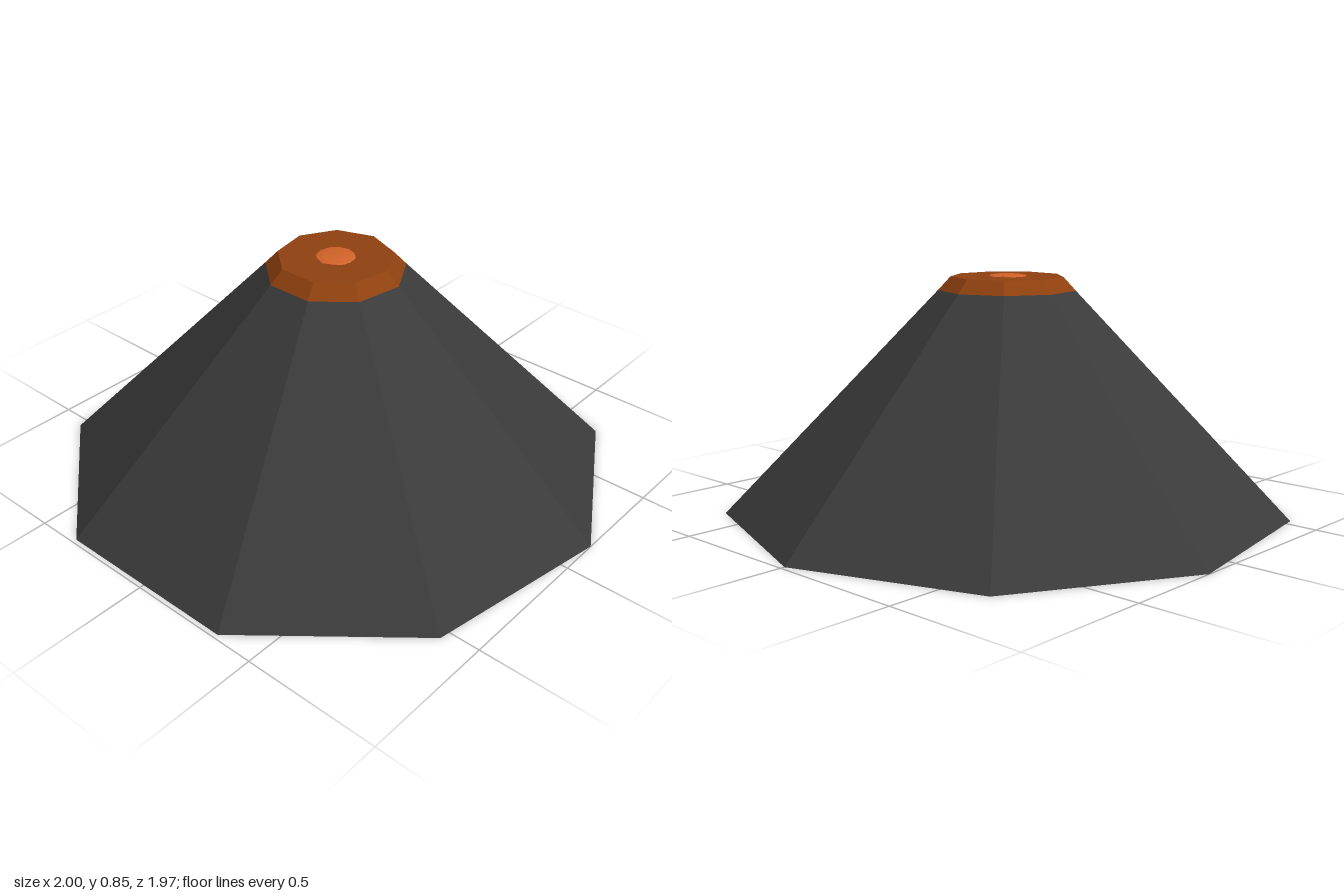
import * as THREE from 'three';

const SIDES = 9;
const CENTRE_Z = 0.03; // a nine-sided base is not symmetric front to back

function material(name, color) {
  const m = new THREE.MeshStandardMaterial({ color, flatShading: true });
  m.name = name;
  return m;
}

export function createModel() {
  const rock = material('dark rock', 0x3a3a3a);
  const crust = material('burnt orange crust', 0x8f400f);
  const ember = material('glowing orange', 0xd2622a);

  const volcano = new THREE.Group();
  volcano.name = 'volcano';

  // Nine-sided tapered section with a corner pointing backwards
  function section(name, topRadius, bottomRadius, y0, y1, mat) {
    const geometry = new THREE.CylinderGeometry(topRadius, bottomRadius, y1 - y0, SIDES);
    geometry.rotateY(Math.PI);
    const mesh = new THREE.Mesh(geometry, mat);
    mesh.name = name;
    mesh.position.set(0, (y0 + y1) / 2, CENTRE_Z);
    volcano.add(mesh);
  }

  section('slope', 0.248, 1.015, 0, 0.79, rock);
  section('craterRim', 0.203, 0.248, 0.79, 0.838, crust);

  // Low faceted lava bubble in the middle of the crater
  const bubble = new THREE.IcosahedronGeometry(0.07, 1);
  bubble.scale(1, 0.12, 1);
  const lava = new THREE.Mesh(bubble, ember);
  lava.name = 'lavaBubble';
  lava.position.set(0, 0.838, CENTRE_Z);
  volcano.add(lava);

  return volcano;
}
